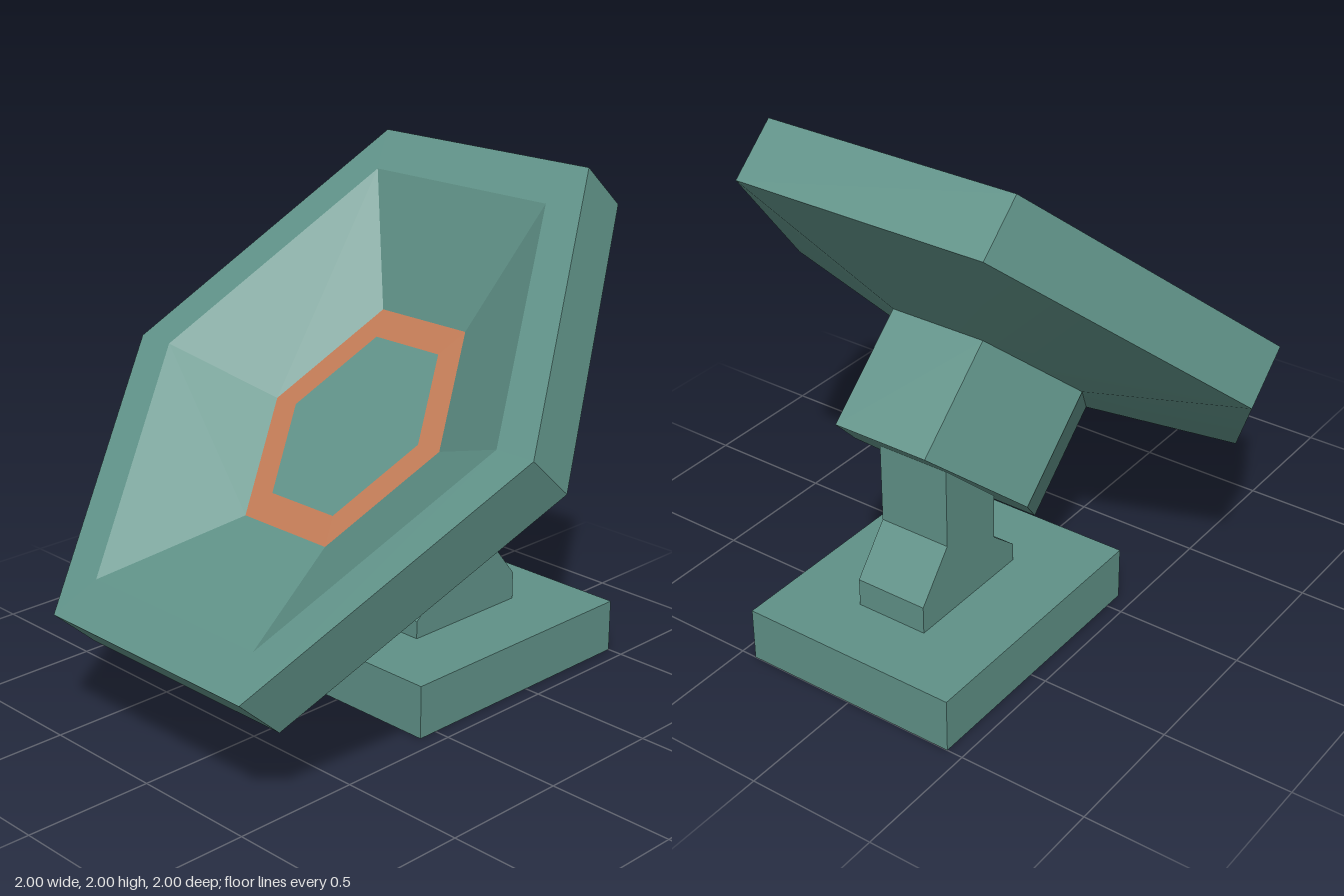
import * as THREE from 'three';

// Tilted frame of the dish: centre of the rim plane, its slope and its depth axis
const CENTRE = new THREE.Vector3(0, 1.24, 0.16);
const SLOPE = new THREE.Vector3(0, 0.76, -0.84);
const DEPTH = new THREE.Vector3(0, 0.16, 0.175);

// Corner k of a hexagon ring with the given scale and depth
function corner(k, [scale, depth]) {
  const a = (k * Math.PI) / 3;
  return CENTRE.clone()
    .add(new THREE.Vector3(scale * Math.cos(a), 0, 0))
    .addScaledVector(SLOPE, (scale * Math.sin(a)) / Math.sin(Math.PI / 3))
    .addScaledVector(DEPTH, depth);
}

// Six-sided surface through a list of [scale, depth] rings
function hexLoft(rings, smooth = false) {
  const pos = [];
  const index = [];
  for (const ring of rings) {
    for (let k = 0; k < 6; k++) pos.push(...corner(k, ring).toArray());
  }
  for (let r = 0; r < rings.length - 1; r++) {
    for (let k = 0; k < 6; k++) {
      const a = r * 6 + k;
      const b = r * 6 + ((k + 1) % 6);
      if (rings[r][0] > 0) index.push(a, b, b + 6);
      if (rings[r + 1][0] > 0) index.push(a, b + 6, a + 6);
    }
  }
  let geo = new THREE.BufferGeometry();
  geo.setAttribute('position', new THREE.Float32BufferAttribute(pos, 3));
  geo.setIndex(index);
  if (!smooth) geo = geo.toNonIndexed();
  geo.computeVertexNormals();
  return geo;
}

export function createModel() {
  const model = new THREE.Group();
  model.name = 'dishAntenna';
  const teal = new THREE.MeshStandardMaterial({ color: 0x5f9187 });
  teal.name = 'teal';
  const orange = new THREE.MeshStandardMaterial({ color: 0xc07a55 });
  orange.name = 'orange';

  const add = (parent, name, geo, mat) => {
    const mesh = new THREE.Mesh(geo, mat);
    mesh.name = name;
    parent.add(mesh);
    return mesh;
  };

  // Base slab
  const base = add(model, 'base', new THREE.BoxGeometry(0.875, 0.21, 1.08), teal);
  base.position.set(0, 0.105, -0.46);

  // Stand: side profile in (z, y), its slanted top tucked into the hub
  const profile = [
    [-0.745, 0.2], [-0.2, 0.2], [-0.2, 0.28], [-0.32, 0.38],
    [-0.32, 0.62], [-0.6, 0.87], [-0.6, 0.5], [-0.745, 0.32],
  ];
  const shape = new THREE.Shape(profile.map(([z, y]) => new THREE.Vector2(z, y)));
  const standGeo = new THREE.ExtrudeGeometry(shape, { depth: 0.29, bevelEnabled: false });
  standGeo.translate(0, 0, -0.145).rotateY(-Math.PI / 2);
  add(model, 'stand', standGeo, teal);

  // Dish, from the hub at the back round to the floor of the bowl
  const dish = new THREE.Group();
  dish.name = 'dish';
  model.add(dish);
  add(dish, 'hub', hexLoft([[0, -3.5], [0.385, -3.5], [0.385, -1.6]]), teal);
  add(dish, 'dishBack', hexLoft([[0.385, -1.6], [1, -1]], true), teal);
  add(dish, 'rim', hexLoft([[1, -1], [1, 0], [0.84, 0]]), teal);
  add(dish, 'bowl', hexLoft([[0.84, 0], [0.42, -1]]), teal);
  add(dish, 'floorRing', hexLoft([[0.42, -1], [0.317, -1]]), orange);
  add(dish, 'floor', hexLoft([[0.317, -1], [0, -1]]), teal);

  return model;
}
